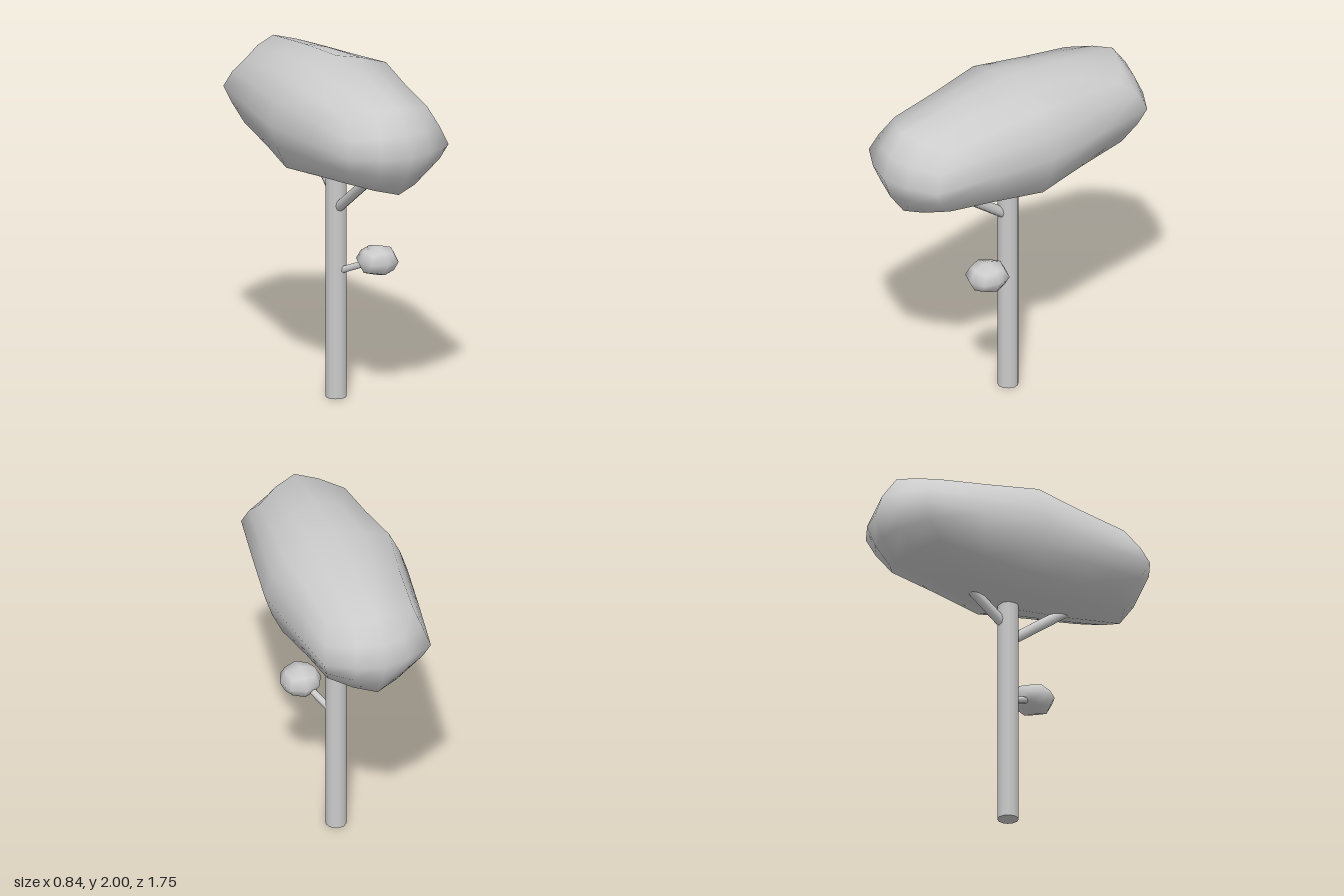
import * as THREE from 'three';
import { mergeVertices } from 'three/addons/utils/BufferGeometryUtils.js';

const material = new THREE.MeshStandardMaterial({ color: 0xcccccc });

// Rounded low-poly foliage: a subdivided cube whose edges and corners are pulled in.
// pull[i] = inward pull of axis i along the other axes, power = its falloff.
function foliage(name, segments, radii, pull, power, corner) {
  const box = new THREE.BoxGeometry(2, 2, 2, segments, segments, segments);
  box.deleteAttribute('uv');
  box.deleteAttribute('normal');
  const geometry = mergeVertices(box);
  const position = geometry.attributes.position;
  for (let v = 0; v < position.count; v++) {
    const p = [position.getX(v), position.getY(v), position.getZ(v)];
    const q = p.map((value, i) => {
      let factor = 1, both = corner[i];
      for (let j = 0; j < 3; j++) {
        if (j === i) continue;
        factor -= pull[i][j] * Math.abs(p[j]) ** power[i][j];
        both *= p[j] * p[j];
      }
      return value * (factor + both) * radii[i];
    });
    position.setXYZ(v, ...q);
  }
  geometry.computeVertexNormals();
  const mesh = new THREE.Mesh(geometry, material);
  mesh.name = name;
  return mesh;
}

// Round limb running from one point to another
function limb(name, from, to, radius, sides) {
  const a = new THREE.Vector3(...from), b = new THREE.Vector3(...to);
  const direction = b.clone().sub(a);
  const mesh = new THREE.Mesh(new THREE.CylinderGeometry(radius, radius, direction.length(), sides), material);
  mesh.position.copy(a).add(b).multiplyScalar(0.5);
  mesh.quaternion.setFromUnitVectors(new THREE.Vector3(0, 1, 0), direction.normalize());
  mesh.name = name;
  return mesh;
}

export function createModel() {
  const tree = new THREE.Group();
  tree.name = 'tree';

  // Trunk and the two struts under the crown
  tree.add(limb('trunk', [0, 0, 0], [0, 1.42, 0], 0.06, 12));
  tree.add(limb('frontBranch', [0, 1.11, 0.02], [0, 1.4, 0.42], 0.03, 8));
  tree.add(limb('backBranch', [0, 1.19, -0.02], [0, 1.42, -0.32], 0.03, 8));

  // Long crown, dipping very slightly towards the front
  const crown = foliage('crown', 4, [0.42, 0.35, 0.875],
    [[0, 0.25, 0.25], [0.25, 0, 0.28], [0.155, 0.155, 0]],
    [[0, 1.3, 1.05], [1.3, 0, 1.25], [1.6, 1.6, 0]],
    [0.1, 0.07, 0]);
  crown.position.set(0, 1.65, 0);
  crown.rotation.x = 0.0145;
  tree.add(crown);

  // Small side twig with a tuft of leaves
  tree.add(limb('twig', [0.01, 0.745, 0.03], [0.13, 0.85, 0.25], 0.02, 8));
  const even = [[0, 0.28, 0.28], [0.28, 0, 0.28], [0.28, 0.28, 0]];
  const tuft = foliage('tuft', 2, [0.12, 0.088, 0.125], even, even.map(() => [1, 1, 1]), [0.12, 0.12, 0.12]);
  tuft.position.set(0.13, 0.848, 0.245);
  tree.add(tuft);

  return tree;
}
